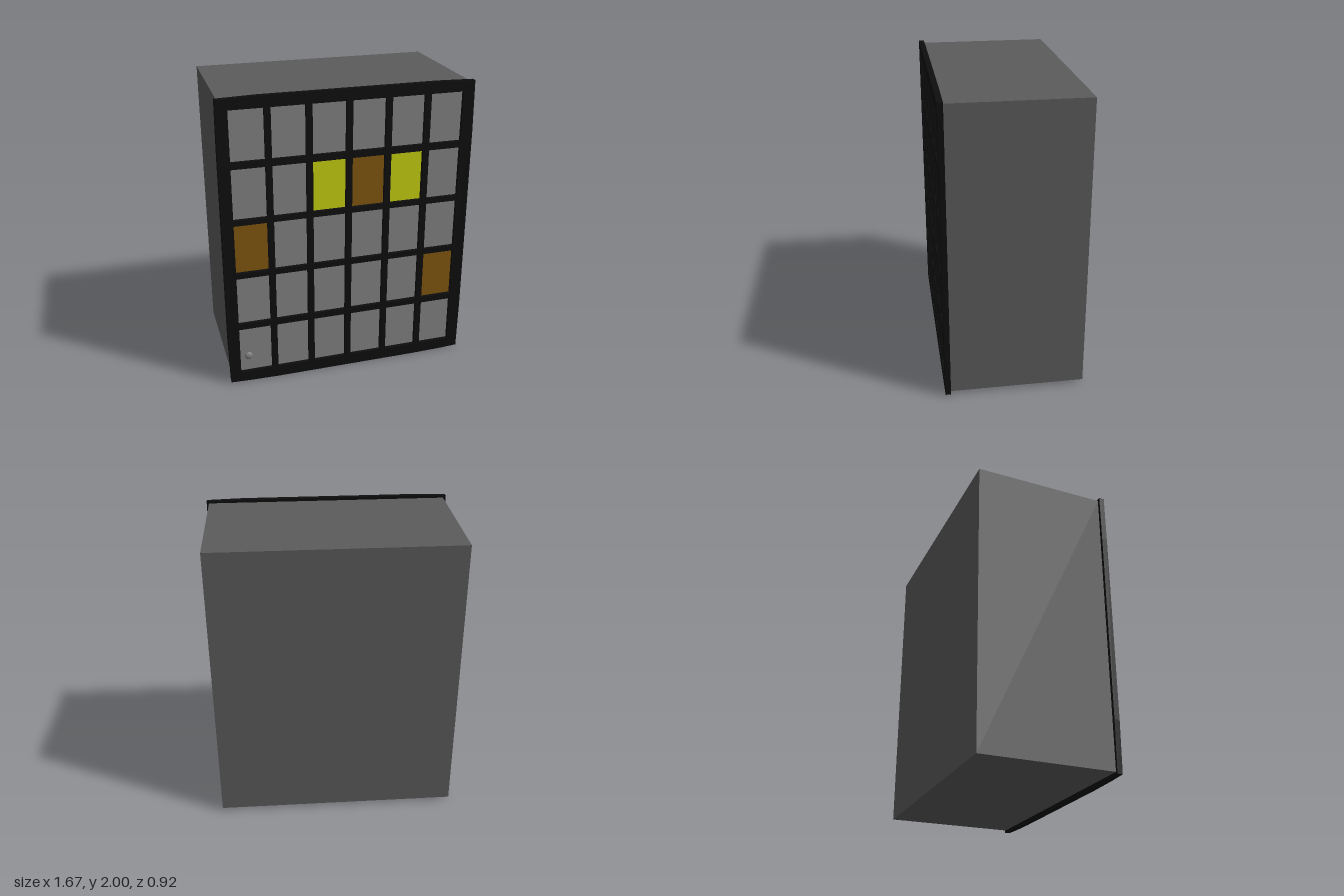
import * as THREE from 'three';

const mat = (name, color) => {
  const m = new THREE.MeshStandardMaterial({ color });
  m.name = name;
  return m;
};

export function createModel() {
  const group = new THREE.Group();
  const bodyGrey = mat('dark grey', 0x5c5c5c);
  const frameBlack = mat('black', 0x0e0e0e);
  const paneGrey = mat('mid grey', 0x808080);
  const yellow = mat('yellow', 0xc3cc0f);
  const brown = mat('brown', 0x80560f);

  const add = (name, geometry, material, x, y, z) => {
    const mesh = new THREE.Mesh(geometry, material);
    mesh.name = name;
    mesh.position.set(x, y, z);
    group.add(mesh);
    return mesh;
  };

  // Cabinet body behind the front grid
  add('body', new THREE.BoxGeometry(1.63, 1.955, 0.89), bodyGrey, 0, 1.0025, -0.017);

  // Pane grid: six columns and five rows of [bottom, top]
  const columns = Array.from({ length: 6 }, (_, i) => [-0.76 + i * 0.2594, -0.542 + i * 0.2594]);
  const rows = [[1.595, 1.925], [1.21, 1.55], [0.835, 1.172], [0.457, 0.796], [0.08, 0.414]];

  // Front frame: slightly bowed outline with a hole for each pane
  const outline = new THREE.Shape([
    [-0.83, 0.01], [-0.7, 0.004], [-0.5, 0], [0.5, 0], [0.7, 0.004], [0.83, 0.01],
    [0.835, 0.35], [0.835, 1.65], [0.83, 1.993],
    [0.58, 2], [-0.58, 2], [-0.835, 1.993], [-0.838, 1.65], [-0.838, 0.35],
  ].map(([x, y]) => new THREE.Vector2(x, y)));
  for (const [x0, x1] of columns) {
    for (const [y0, y1] of rows) {
      outline.holes.push(new THREE.Path([
        new THREE.Vector2(x0, y0), new THREE.Vector2(x0, y1),
        new THREE.Vector2(x1, y1), new THREE.Vector2(x1, y0),
      ]));
    }
  }
  const frame = new THREE.ExtrudeGeometry(outline, { depth: 0.036, bevelEnabled: false });
  add('frontFrame', frame, frameBlack, 0, 0, 0.426);

  // Recessed panes, a few of them coloured (key: row, column)
  const accents = { '1,2': yellow, '1,3': brown, '1,4': yellow, '2,0': brown, '3,5': brown };
  rows.forEach(([y0, y1], r) => columns.forEach(([x0, x1], c) => {
    const geometry = new THREE.BoxGeometry(x1 - x0, y1 - y0, 0.014);
    add('pane', geometry, accents[`${r},${c}`] || paneGrey, (x0 + x1) / 2, (y0 + y1) / 2, 0.433);
  }));

  // Small round knob on the bottom corner pane
  const knob = add('knob', new THREE.SphereGeometry(0.027, 16, 10), paneGrey, -0.7, 0.19, 0.44);
  knob.scale.z = 0.5;

  return group;
}
